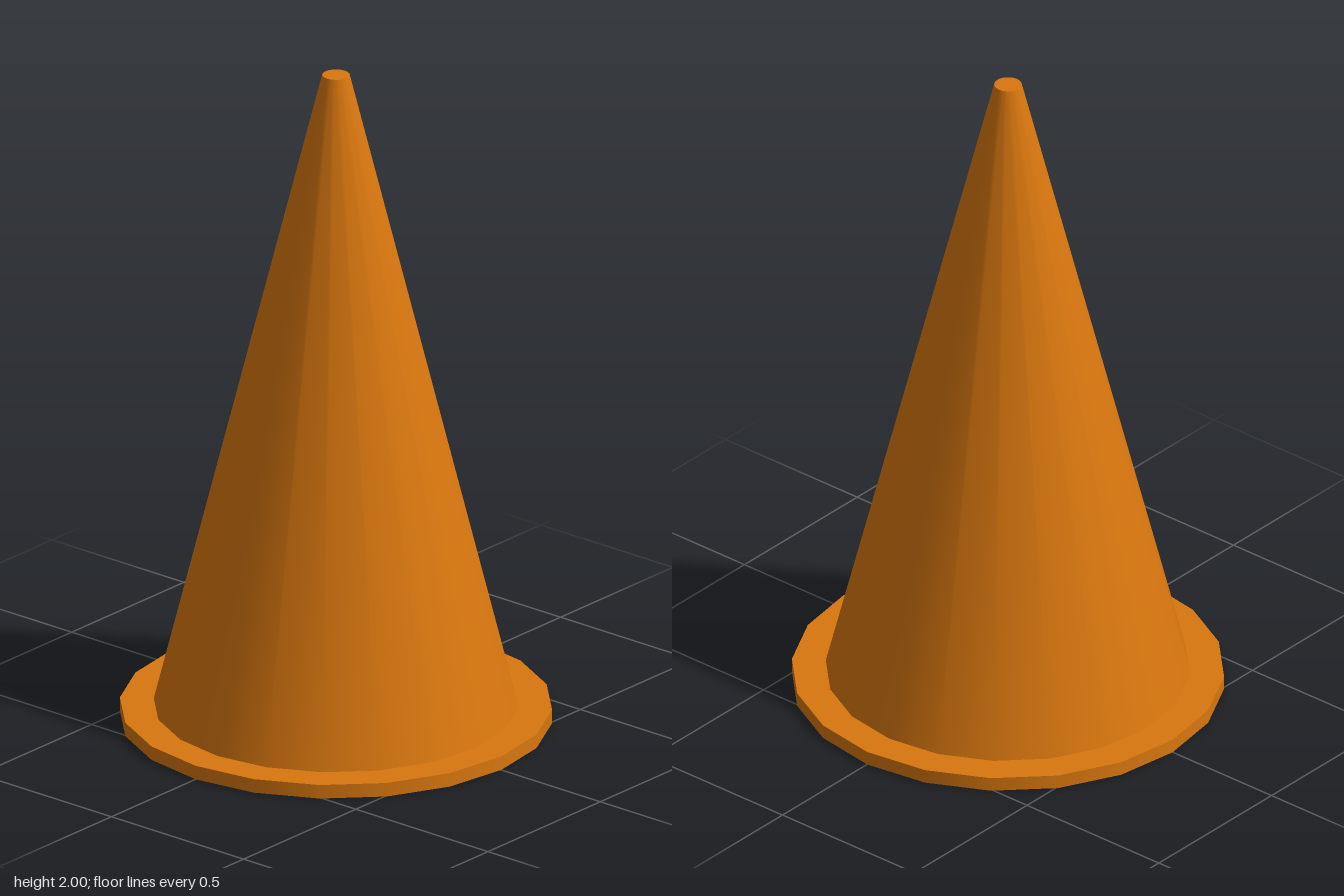
import * as THREE from 'three';

const SIDES = 20;
const material = new THREE.MeshStandardMaterial({ color: 0xd9770f, side: THREE.DoubleSide });

// One ring of faces swept between two [radius, height] points, smooth around the axis
function band(name, from, to) {
  const points = [from, to].map(([r, y]) => new THREE.Vector2(r, y));
  const mesh = new THREE.Mesh(new THREE.LatheGeometry(points, SIDES), material);
  mesh.name = name;
  return mesh;
}

export function createModel() {
  const model = new THREE.Group();
  model.name = 'trafficCone';

  const outer = 0.625, inner = 0.527, rim = 0.042, tip = 0.04, height = 2;

  // Base flange: a flat ring with an open middle
  const flange = new THREE.Group();
  flange.name = 'baseFlange';
  flange.add(
    band('flangeOuterWall', [outer, 0], [outer, rim]),
    band('flangeTop', [outer, rim], [inner, rim]),
    band('flangeInnerWall', [inner, rim], [inner, 0]),
    band('flangeBottom', [inner, 0], [outer, 0])
  );

  // Hollow tapered body, closed by a small flat tip
  const body = new THREE.Group();
  body.name = 'coneBody';
  body.add(
    band('coneWall', [inner, rim], [tip, height]),
    band('coneTip', [tip, height], [0, height])
  );

  model.add(flange, body);
  return model;
}
